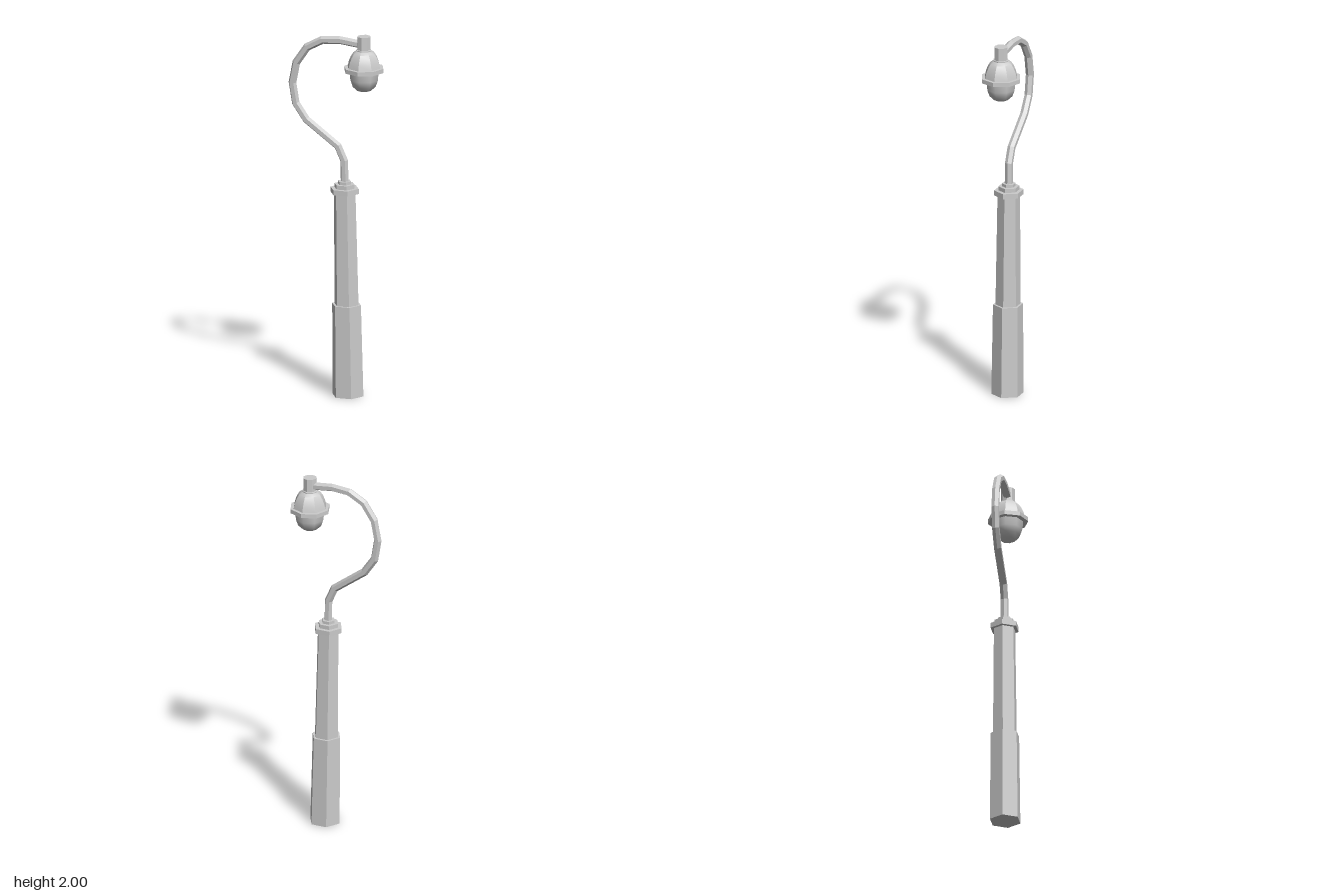
import * as THREE from 'three';
import { toCreasedNormals } from 'three/addons/utils/BufferGeometryUtils.js';

const LAMP_X = 0.158;

export function createModel() {
  const group = new THREE.Group();
  const flat = new THREE.MeshStandardMaterial({ color: 0xcccccc, flatShading: true });
  const smooth = new THREE.MeshStandardMaterial({ color: 0xcccccc });

  function add(name, geometry, material = flat) {
    const mesh = new THREE.Mesh(geometry, material);
    mesh.name = name;
    group.add(mesh);
    return mesh;
  }

  // Hexagonal post stage with corners on the x axis, leaning slightly with height
  function postStage(name, y0, y1, r0, r1) {
    const g = new THREE.CylinderGeometry(r1, r0, y1 - y0, 6, 1, false, Math.PI / 2);
    g.translate(0, (y0 + y1) / 2, 0);
    const p = g.attributes.position;
    for (let i = 0; i < p.count; i++) p.setX(i, p.getX(i) + 0.068 - 0.017 * p.getY(i));
    add(name, g);
  }
  postStage('base', 0, 0.505, 0.087, 0.0815);
  postStage('column', 0.505, 1.122, 0.068, 0.061);
  postStage('collar', 1.122, 1.15, 0.08, 0.08);
  postStage('collarStep', 1.15, 1.172, 0.057, 0.057);
  postStage('armSocket', 1.172, 1.188, 0.037, 0.037);

  // Curved arm: hexagonal rings mitred along a planar path
  const path = [
    [0.049, 1.17], [0.046, 1.3], [0.011, 1.378], [-0.168, 1.51], [-0.228, 1.597], [-0.247, 1.71],
    [-0.225, 1.823], [-0.164, 1.913], [-0.078, 1.96], [0.02, 1.968], [LAMP_X, 1.952],
  ].map(([x, y]) => new THREE.Vector2(x, y));
  const positions = [], index = [], sides = 6, radius = 0.022;
  path.forEach((p, i) => {
    const before = p.clone().sub(path[Math.max(i - 1, 0)]).normalize();
    const after = path[Math.min(i + 1, path.length - 1)].clone().sub(p).normalize();
    const t = before.add(after).normalize();
    for (let k = 0; k < sides; k++) {
      const a = (k / sides) * Math.PI * 2;
      const out = Math.cos(a) * radius;
      positions.push(p.x - t.y * out, p.y + t.x * out, Math.sin(a) * radius);
      if (i > 0) {
        const k2 = (k + 1) % sides, lo = (i - 1) * sides, hi = i * sides;
        index.push(lo + k, lo + k2, hi + k2, lo + k, hi + k2, hi + k);
      }
    }
  });
  const arm = new THREE.BufferGeometry();
  arm.setAttribute('position', new THREE.Float32BufferAttribute(positions, 3));
  arm.setIndex(index);
  arm.computeVertexNormals();
  add('arm', arm);

  // Eight-sided lamp parts, profiles run from bottom to top
  function lampPart(name, profile, crease) {
    const g = new THREE.LatheGeometry(profile.map(([r, y]) => new THREE.Vector2(r, y)), 8);
    const mesh = add(name, crease ? toCreasedNormals(g, crease) : g, smooth);
    mesh.position.x = LAMP_X;
  }
  lampPart('globe', [[0, 1.695], [0.04, 1.702], [0.067, 1.728], [0.079, 1.762], [0.083, 1.81]]);
  lampPart('rim', [[0, 1.806], [0.11, 1.806], [0.11, 1.829], [0, 1.829]], 0.3);
  lampPart('shade', [[0.092, 1.829], [0.086, 1.857], [0.074, 1.886], [0.06, 1.908], [0.04, 1.922]], 0.6);
  lampPart('cap', [[0, 1.915], [0.042, 1.915], [0.042, 1.926], [0.037, 1.928], [0.037, 2], [0, 2]], 0.3);

  return group;
}
